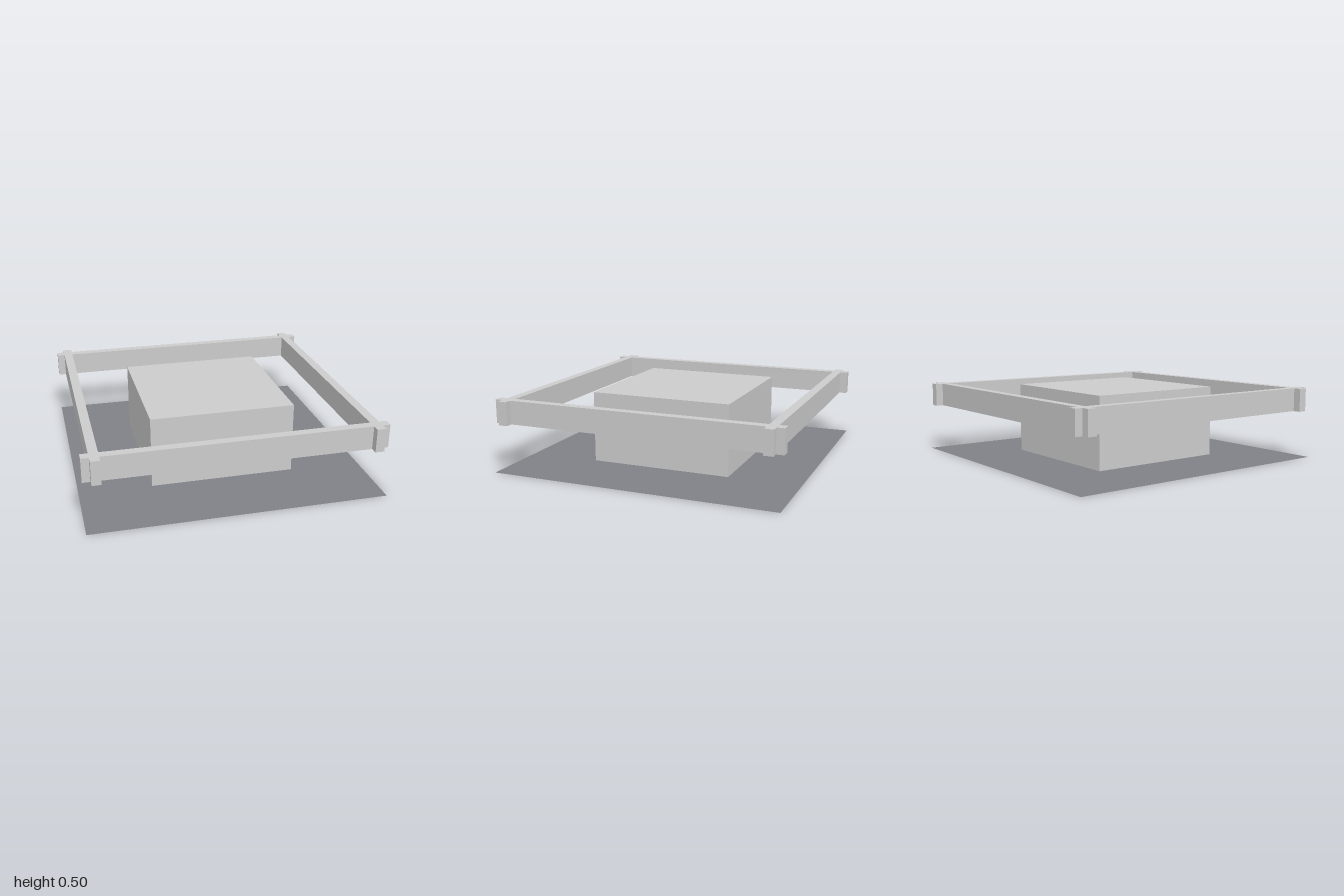
import * as THREE from 'three';

const TOP = 0.5;

export function createModel() {
  const model = new THREE.Group();
  const grey = new THREE.MeshStandardMaterial({ color: 0xcccccc });
  const darkGrey = new THREE.MeshStandardMaterial({ color: 0x7f8186, side: THREE.DoubleSide });

  const add = (name, geometry, material, x, y, z) => {
    const mesh = new THREE.Mesh(geometry, material);
    mesh.name = name;
    mesh.position.set(x, y, z);
    model.add(mesh);
    return mesh;
  };

  // Thin square ground sheet
  add('ground', new THREE.PlaneGeometry(2, 2), darkGrey, 0, 0, 0).rotation.x = -Math.PI / 2;

  // Central block, lifted a hair so its underside does not share the ground plane
  const gap = 0.002;
  add('centreBlock', new THREE.BoxGeometry(1, TOP - gap, 1), grey, 0, (TOP + gap) / 2, 0);

  // Four full-length rails crossing near the corners
  const inner = 0.886, outer = 0.948, railHeight = 0.163;
  const width = outer - inner, offset = (inner + outer) / 2, y = TOP - railHeight / 2;
  for (const side of [-1, 1]) {
    add(side > 0 ? 'frontRail' : 'backRail',
      new THREE.BoxGeometry(2, railHeight, width), grey, 0, y, side * offset);
    add(side > 0 ? 'leftRail' : 'rightRail',
      new THREE.BoxGeometry(width, railHeight, 2), grey, side * offset, y, 0);
  }

  return model;
}
